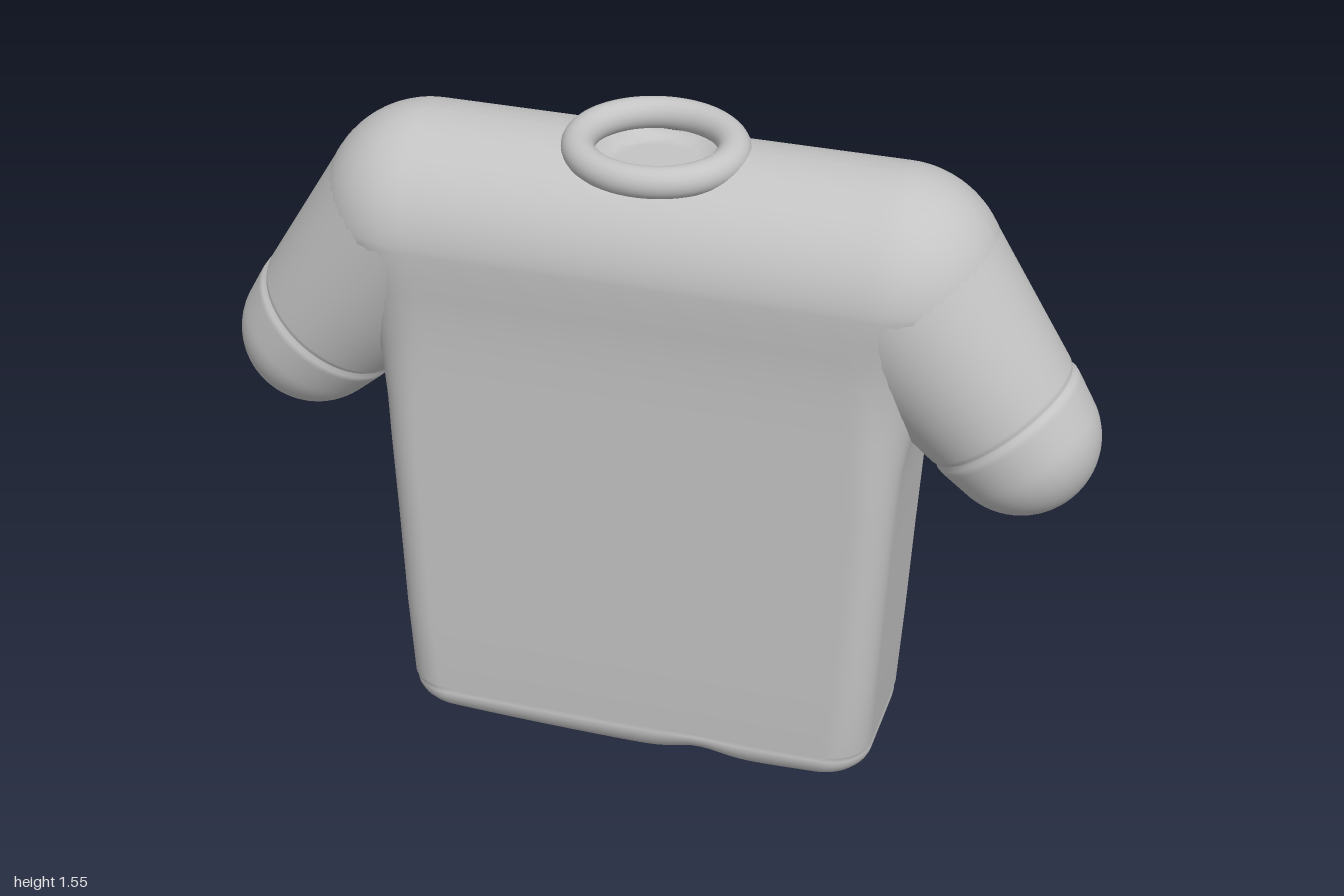
import * as THREE from 'three';

const fabric = new THREE.MeshStandardMaterial({ color: 0xc4c4c4 });
fabric.name = 'grey fabric';

const SHOULDER = { x: 0.53, y: 1.27, r: 0.24 };
const CUFF = { x: 0.825, y: 0.91, r: 0.175 };

// Rounded rectangle in the xz plane: half sizes a, b and corner radius r
function roundedLoop(a, b, r) {
  const pts = [], w = a - r, d = b - r, corner = 12;
  const corners = [[w, d], [-w, d], [-w, -d], [w, -d]];
  corners.forEach(([cx, cz], q) => {
    for (let i = 0; i <= corner; i++) {
      const t = (q + i / corner) * Math.PI / 2;
      pts.push([cx + r * Math.cos(t), cz + r * Math.sin(t)]);
    }
    // subdivided straight edge to the next corner
    const [nx, nz] = corners[(q + 1) % 4];
    const steps = q % 2 ? 8 : 48;
    const [ex, ez] = pts[pts.length - 1];
    for (let i = 1; i < steps; i++) {
      pts.push([ex + (nx - cx) * i / steps, ez + (nz - cz) * i / steps]);
    }
  });
  return pts;
}

// Skin closed loops stacked from bottom to top and close the underside
function loft(loops) {
  const n = loops[0].length, pos = loops.flat(2), index = [];
  for (let j = 0; j < loops.length - 1; j++) {
    for (let i = 0; i < n; i++) {
      const a = j * n + i, b = j * n + (i + 1) % n;
      index.push(a, a + n, b, b, a + n, b + n);
    }
  }
  const centre = loops.length * n;
  pos.push(0, 0.004, 0);
  for (let i = 0; i < n; i++) index.push(centre, i, (i + 1) % n);
  const g = new THREE.BufferGeometry();
  g.setAttribute('position', new THREE.Float32BufferAttribute(pos, 3));
  g.setIndex(index);
  g.computeVertexNormals();
  return g;
}

function torsoGeometry() {
  const sections = []; // [y, half width, half depth, corner radius]
  // rolled bottom edge
  for (let i = 0; i <= 7; i++) {
    const t = i / 7 * Math.PI / 2, inset = 0.085 * (1 - Math.sin(t));
    sections.push([0.08 * (1 - Math.cos(t)), 0.557 - inset, 0.207 - inset, 0.1 - inset * 0.5]);
  }
  // hem seam, straight sides, then widening into the shoulders
  sections.push(
    [0.088, 0.552, 0.202, 0.09], [0.1, 0.558, 0.208, 0.09],
    [0.3, 0.567, 0.212, 0.08], [0.55, 0.578, 0.215, 0.08], [0.75, 0.588, 0.218, 0.08],
    [0.86, 0.596, 0.219, 0.09], [0.95, 0.611, 0.22, 0.11], [1.03, 0.634, 0.222, 0.14],
    [1.1, 0.665, 0.225, 0.17], [1.16, 0.7, 0.23, 0.2], [1.21, 0.735, 0.236, 0.225],
  );
  // half-round shoulder ridge
  for (let i = 0; i <= 22; i++) {
    const t = i / 22 * Math.PI / 2, b = SHOULDER.r * Math.cos(t);
    sections.push([SHOULDER.y + SHOULDER.r * Math.sin(t), SHOULDER.x + b, b, b]);
  }
  return loft(sections.map(([y, a, b, r]) => roundedLoop(a, b, r).map(([x, z]) => {
    let py = y;
    // uneven hem
    if (y < 0.1) {
      const wave = 0.024 * Math.exp(-(((x - 0.16) / 0.07) ** 2)) + 0.06 * x * x;
      py += wave * (1 - y / 0.1);
    }
    // shallow neck opening
    if (y > 1.4) {
      const away = Math.hypot(x, z - 0.02);
      const k = 1 - THREE.MathUtils.smoothstep(away, 0.125, 0.165);
      py -= k * Math.max(0, py - 1.452);
    }
    const sway = y < 1 ? -0.01 * (1 - y) : 0;
    return [x + sway, py, z];
  })));
}

// Tapered sleeve along +y with round ends and a stitched cuff line
function sleeveGeometry() {
  const length = Math.hypot(CUFF.x - SHOULDER.x, CUFF.y - SHOULDER.y);
  const r0 = SHOULDER.r - 0.001, r1 = CUFF.r;
  const slope = Math.asin((r0 - r1) / length);
  const pts = [];
  const arc = (r, y, from, to, steps) => {
    for (let i = 0; i <= steps; i++) {
      const t = from + (to - from) * i / steps;
      pts.push(new THREE.Vector2(Math.max(0, r * Math.cos(t)), y + r * Math.sin(t)));
    }
  };
  arc(r0, 0, -Math.PI / 2, slope, 20);
  const start = pts[pts.length - 1];
  const end = new THREE.Vector2(r1 * Math.cos(slope), length + r1 * Math.sin(slope));
  for (const [y, dr] of [[0.2, 0], [0.385, 0], [0.396, -0.003], [0.403, -0.006], [0.41, 0.002], [0.425, 0.003]]) {
    const k = (y - start.y) / (end.y - start.y);
    pts.push(new THREE.Vector2(start.x + (end.x - start.x) * k + dr, y));
  }
  arc(r1, length, slope, Math.PI / 2, 16);
  return new THREE.LatheGeometry(pts, 56);
}

export function createModel() {
  const model = new THREE.Group();
  model.name = 'shirt';
  const add = (geometry, name) => {
    const mesh = new THREE.Mesh(geometry, fabric);
    mesh.name = name;
    model.add(mesh);
    return mesh;
  };

  add(torsoGeometry(), 'torso');

  // mirrored sleeves
  const sleeve = sleeveGeometry();
  const angle = Math.atan2(CUFF.x - SHOULDER.x, CUFF.y - SHOULDER.y);
  for (const [side, name] of [[1, 'leftSleeve'], [-1, 'rightSleeve']]) {
    const mesh = add(sleeve, name);
    mesh.position.set(side * SHOULDER.x, SHOULDER.y, 0);
    mesh.rotation.z = -side * angle;
  }

  // collar ring, tipped forward
  const ring = new THREE.TorusGeometry(0.165, 0.036, 20, 64);
  ring.rotateX(Math.PI / 2);
  ring.scale(1.03, 1, 0.9);
  const collar = add(ring, 'collar');
  collar.position.set(0, 1.5, 0.021);
  collar.rotation.x = 0.07;

  return model;
}
